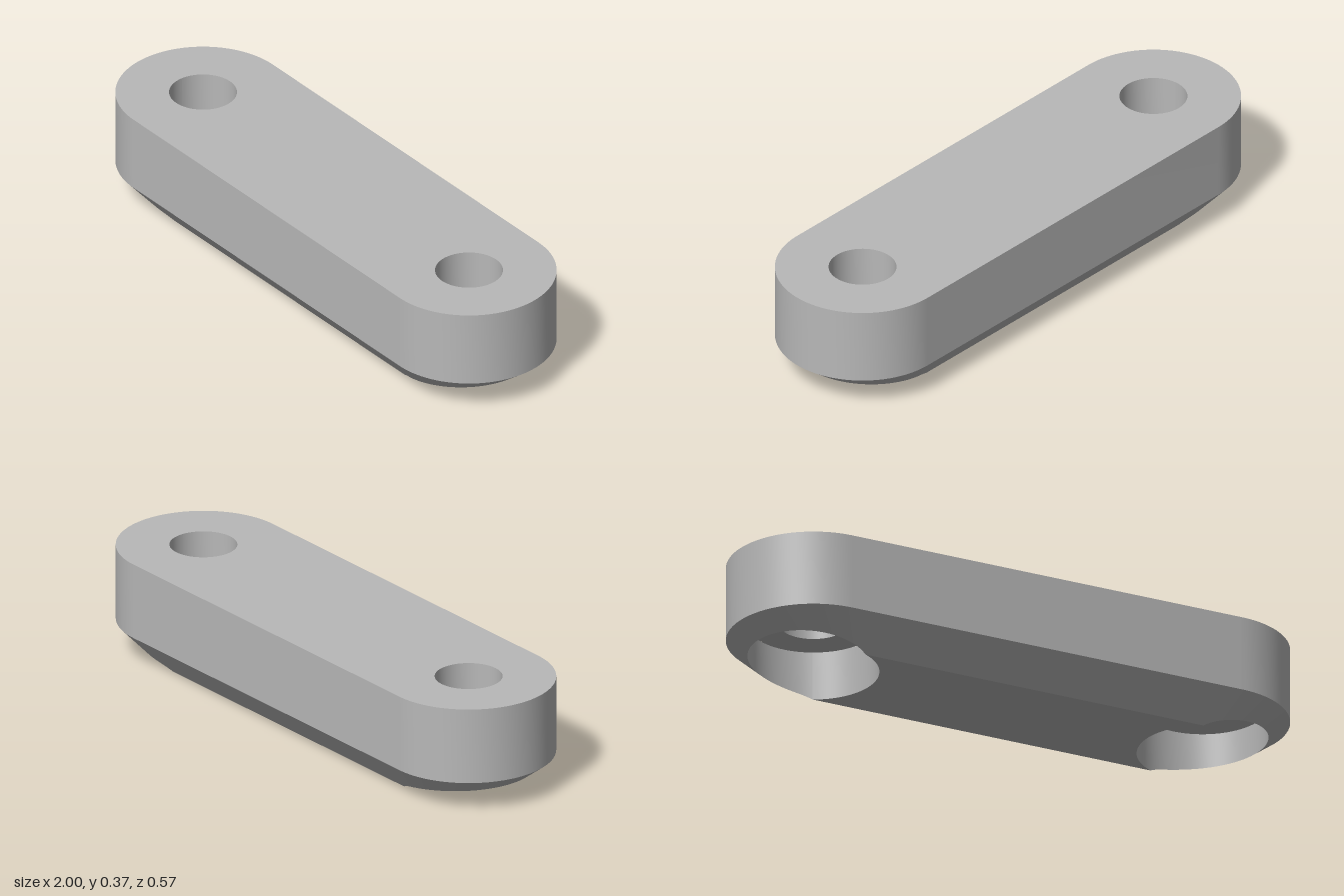
import * as THREE from 'three';

const HEIGHT = 0.373, WALL_Y = 0.112, LEDGE_Y = 0.17;
const CENTRE = 0.7125, RADIUS = 0.2875;   // rounded ends of the bar
const BASE_CENTRE = 0.654, BASE_RADIUS = 0.195; // where the chamfer meets the base
const BORE = 0.2165, HOLE = 0.1115;

// Points on an arc about (cx, 0), turning from +z through +x to -z
function arc(cx, r, y, from, to, n) {
  return Array.from({ length: n + 1 }, (_, i) => {
    const a = from + (to - from) * i / n;
    return new THREE.Vector3(cx + r * Math.cos(a), y, -r * Math.sin(a));
  });
}

// Smooth band between a lower and an upper row of points
function strip(a, b) {
  const n = a.length, index = [];
  for (let i = 0; i < n - 1; i++) {
    index.push(i, i + 1, n + i, i + 1, n + i + 1, n + i);
  }
  const geometry = new THREE.BufferGeometry().setFromPoints([...a, ...b]);
  geometry.setIndex(index);
  geometry.computeVertexNormals();
  return geometry;
}

// Where a vertical line through p meets the chamfer, and the matching top edge point
function chamferAt(p) {
  const centre = t => THREE.MathUtils.lerp(BASE_CENTRE, CENTRE, t);
  const radius = t => THREE.MathUtils.lerp(BASE_RADIUS, RADIUS, t);
  const gap = t => Math.hypot(Math.max(p.x - centre(t), 0), p.z) - radius(t);
  let lo = 0, hi = 1;
  for (let i = 0; i < 30; i++) {
    const mid = (lo + hi) / 2;
    if (gap(mid) > 0) lo = mid; else hi = mid;
  }
  const t = lo, dx = p.x - centre(t), k = RADIUS / radius(t);
  return {
    rim: new THREE.Vector3(p.x, t * WALL_Y, p.z),
    edge: new THREE.Vector3(CENTRE + Math.min(dx, 0) + k * Math.max(dx, 0), WALL_Y, k * p.z),
  };
}

export function createModel() {
  const grey = new THREE.MeshStandardMaterial({ color: 0xb8b8b8 });
  grey.name = 'plain grey';
  const model = new THREE.Group();
  model.name = 'linkBar';
  const add = (parent, name, geometry) => {
    const mesh = new THREE.Mesh(geometry, grey);
    mesh.name = name;
    parent.add(mesh);
  };
  const { PI } = Math;

  // Upright outer wall
  const outline = y => {
    const points = [...arc(CENTRE, RADIUS, y, -PI / 2, PI / 2, 48),
      ...arc(-CENTRE, RADIUS, y, PI / 2, PI * 1.5, 48)];
    return [...points, points[0].clone()];
  };
  add(model, 'outerWall', strip(outline(WALL_Y), outline(HEIGHT)));

  // Top face with two holes
  const top = new THREE.Shape();
  top.absarc(CENTRE, 0, RADIUS, -PI / 2, PI / 2);
  top.absarc(-CENTRE, 0, RADIUS, PI / 2, PI * 1.5);
  for (const s of [1, -1]) {
    top.holes.push(new THREE.Path().absarc(s * CENTRE, 0, HOLE, 0, PI * 2, true));
  }
  add(model, 'topFace', new THREE.ShapeGeometry(top, 48).rotateX(-PI / 2).translate(0, HEIGHT, 0));

  // Flat base, cut at both ends by the wide bores
  const cut = PI - Math.asin(BASE_RADIUS / BORE);
  const backArc = arc(CENTRE, BORE, 0, cut, 2 * PI - cut, 32);
  const half = s => backArc.map(p => new THREE.Vector2(s * p.x, -s * p.z));
  const base = new THREE.Shape([...half(1), ...half(-1)]);
  add(model, 'baseFace', new THREE.ShapeGeometry(base).rotateX(PI / 2));

  // Each end: half the parts, repeated by a half turn
  for (const [name, turn] of [['leftEnd', 0], ['rightEnd', PI]]) {
    const end = new THREE.Group();
    end.name = name;
    end.rotation.y = turn;
    model.add(end);

    const samples = arc(CENTRE, BORE, 0, -cut, cut, 72).map(chamferAt);
    const rim = samples.map(s => s.rim), edge = samples.map(s => s.edge);
    add(end, 'endChamfer', strip(rim, edge));

    // Long sloping side, on one side per end
    const x = rim[0].x, z = BASE_RADIUS;
    add(end, 'sideChamfer', strip(
      [new THREE.Vector3(-x, 0, z), new THREE.Vector3(x, 0, z)],
      [new THREE.Vector3(-edge[0].x, WALL_Y, RADIUS), new THREE.Vector3(edge[0].x, WALL_Y, RADIUS)]));

    // Wide bore, ledge and through hole
    const boreRim = [...rim, ...backArc.slice(1)];
    const boreTop = boreRim.map(p => new THREE.Vector3(p.x, LEDGE_Y, p.z));
    add(end, 'boreWall', strip(boreTop, boreRim));
    const circle = (r, y) => arc(CENTRE, r, y, 0, PI * 2, 96);
    add(end, 'boreLedge', strip(circle(HOLE, LEDGE_Y), circle(BORE, LEDGE_Y)));
    add(end, 'holeWall', strip(circle(HOLE, HEIGHT), circle(HOLE, LEDGE_Y)));
  }
  return model;
}
